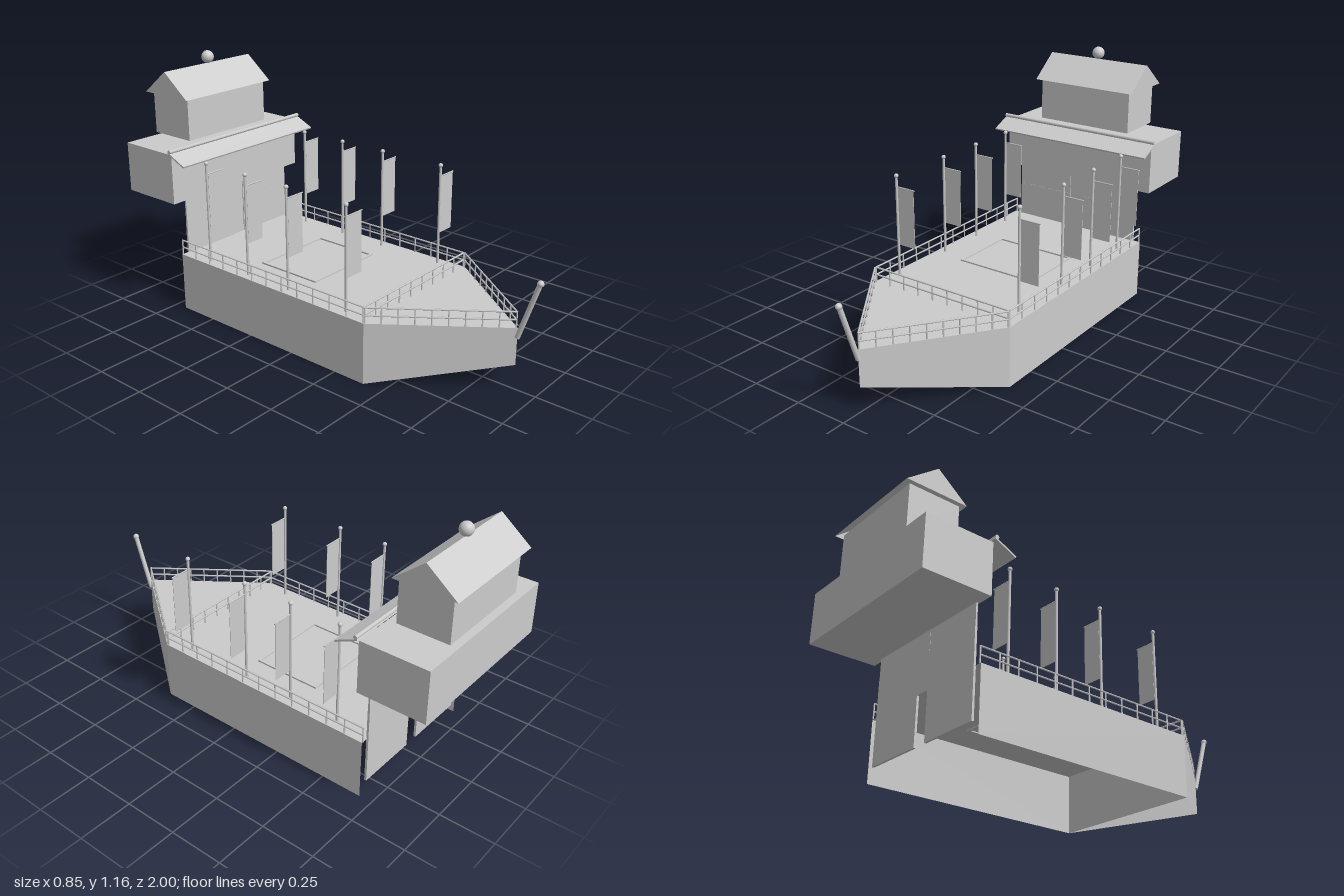
import * as THREE from 'three';

const grey = new THREE.MeshStandardMaterial({ color: 0xcccccc, side: THREE.DoubleSide });
grey.name = 'light grey';
const V = (x, y, z) => new THREE.Vector3(x, y, z);

function add(parent, name, geometry, x = 0, y = 0, z = 0) {
  const mesh = new THREE.Mesh(geometry, grey);
  mesh.name = name;
  mesh.position.set(x, y, z);
  parent.add(mesh);
  return mesh;
}

// Box given by its lower and upper corners
function block(parent, name, [x0, y0, z0], [x1, y1, z1]) {
  return add(parent, name, new THREE.BoxGeometry(x1 - x0, y1 - y0, z1 - z0),
    (x0 + x1) / 2, (y0 + y1) / 2, (z0 + z1) / 2);
}

// Round bar between two points
function rod(parent, name, a, b, r, sides = 8) {
  const dir = b.clone().sub(a);
  const mesh = add(parent, name, new THREE.CylinderGeometry(r, r, dir.length(), sides));
  mesh.position.copy(a).lerp(b, 0.5);
  mesh.quaternion.setFromUnitVectors(V(0, 1, 0), dir.normalize());
  return mesh;
}

const ball = (parent, name, r, p) =>
  add(parent, name, new THREE.SphereGeometry(r, 20, 14), p.x, p.y, p.z);

// Flat convex panel through the given corners
function panel(parent, name, ...pts) {
  const flat = [];
  for (let i = 1; i < pts.length - 1; i++)
    for (const p of [pts[0], pts[i], pts[i + 1]]) flat.push(p.x, p.y, p.z);
  const g = new THREE.BufferGeometry();
  g.setAttribute('position', new THREE.Float32BufferAttribute(flat, 3));
  g.computeVertexNormals();
  return add(parent, name, g);
}

// Railing with two bars and evenly spaced posts
function railing(parent, name, a, b, bays) {
  const rail = new THREE.Group();
  rail.name = name;
  for (const h of [0.035, 0.07])
    rod(rail, 'railBar', V(a.x, a.y + h, a.z), V(b.x, b.y + h, b.z), 0.004, 6);
  for (let i = 0; i <= bays; i++) {
    const p = a.clone().lerp(b, i / bays);
    rod(rail, 'railPost', p, V(p.x, p.y + 0.072, p.z), 0.0035, 6);
  }
  parent.add(rail);
}

export function createModel() {
  const ship = new THREE.Group();
  ship.name = 'ship';
  const W = 0.367, D = 0.277, BOW = 0.405, TIP = 0.9, STERN = -0.69;

  // Hull shell, open underneath and at the stern
  const hull = new THREE.Group();
  hull.name = 'hull';
  ship.add(hull);
  for (const s of [1, -1]) {
    const side = [V(s * W, 0, BOW), V(s * W, 0, STERN), V(s * W, D, STERN), V(s * W, D, BOW)];
    const bow = [V(0, 0.11, TIP), V(s * W, 0, BOW), V(s * W, D, BOW), V(0, D, TIP)];
    panel(hull, 'hullSide', ...(s > 0 ? side : side.reverse()));
    panel(hull, 'bowSide', ...(s > 0 ? bow : bow.reverse()));
  }
  panel(hull, 'bulkhead', V(-W, 0, BOW), V(W, 0, BOW), V(W, D, BOW), V(-W, D, BOW));
  panel(hull, 'deck', V(-W, D, STERN), V(-W, D, BOW), V(0, D, TIP), V(W, D, BOW), V(W, D, STERN));

  // Hatch frame
  for (const s of [1, -1]) {
    block(ship, 'hatchFrame', [s * 0.196 - 0.006, 0.272, -0.328], [s * 0.196 + 0.006, 0.284, 0]);
    const z = -0.164 + s * 0.158;
    block(ship, 'hatchFrame', [-0.19, 0.272, z - 0.006], [0.19, 0.284, z + 0.006]);
  }

  // Railings
  const E = 0.361;
  for (const s of [1, -1]) {
    railing(ship, 'sideRailing', V(s * E, D, 0.4), V(s * E, D, STERN), 12);
    railing(ship, 'bowRailing', V(s * E, D, 0.407), V(0, D, 0.893), 9);
  }
  railing(ship, 'crossRailing', V(-E, D, 0.4), V(E, D, 0.4), 9);

  // Flag poles in two rows
  for (const x of [-0.328, 0.325]) {
    for (const z of [0.282, -0.045, -0.29, -0.535]) {
      const flag = new THREE.Group();
      flag.name = 'flagPole';
      rod(flag, 'pole', V(x, D, z), V(x, 0.745, z), 0.006);
      ball(flag, 'poleKnob', 0.01, V(x, 0.748, z));
      rod(flag, 'flagBar', V(x, 0.697, z), V(x + 0.1, 0.697, z), 0.003, 6);
      block(flag, 'flag', [x + 0.008, 0.425, z - 0.001], [x + 0.096, 0.697, z + 0.001]);
      ship.add(flag);
    }
  }

  // Bow spar
  rod(ship, 'bowSpar', V(0, 0.235, 0.9), V(0, 0.495, 0.985), 0.011, 12);
  ball(ship, 'sparKnob', 0.014, V(0, 0.496, 0.986));

  // Stern wall with a narrow door in the middle
  for (const s of [1, -1]) {
    const a = s > 0 ? 0.035 : -0.33, b = s > 0 ? 0.33 : -0.035;
    block(ship, 'sternWall', [a, 0.06, -0.695], [b, 0.445, -0.685]);
    block(ship, 'upperSternWall', [a, 0.445, -0.694], [b, 0.545, -0.686]);
  }
  block(ship, 'door', [-0.035, D, -0.695], [0.035, 0.545, -0.69]);

  // Overhanging cabin
  block(ship, 'cabin', [-0.405, 0.54, -0.99], [0.405, 0.775, -0.68]);

  // Sloping awning and its roller
  const awning = add(ship, 'awning', new THREE.BoxGeometry(0.844, 0.008, 0.112), 0, 0.764, -0.632);
  awning.rotation.x = Math.atan2(0.045, 0.1);
  rod(ship, 'awningRoller', V(-0.422, 0.794, -0.674), V(0.422, 0.794, -0.674), 0.009, 10);

  // Upper house
  block(ship, 'upperHouse', [-0.245, 0.795, -0.97], [0.245, 0.995, -0.735]);

  // Gabled roof, open underneath
  const R = 0.269, y0 = 0.993, y1 = 1.106, zf = -0.715, zb = -0.998, zm = -0.857;
  panel(ship, 'roofFront', V(-R, y0, zf), V(R, y0, zf), V(R, y1, zm), V(-R, y1, zm));
  panel(ship, 'roofBack', V(R, y0, zb), V(-R, y0, zb), V(-R, y1, zm), V(R, y1, zm));
  panel(ship, 'gable', V(R, y0, zf), V(R, y0, zb), V(R, y1, zm));
  panel(ship, 'gable', V(-R, y0, zb), V(-R, y0, zf), V(-R, y1, zm));
  ball(ship, 'roofBall', 0.03, V(0, 1.135, zm));

  return ship;
}
